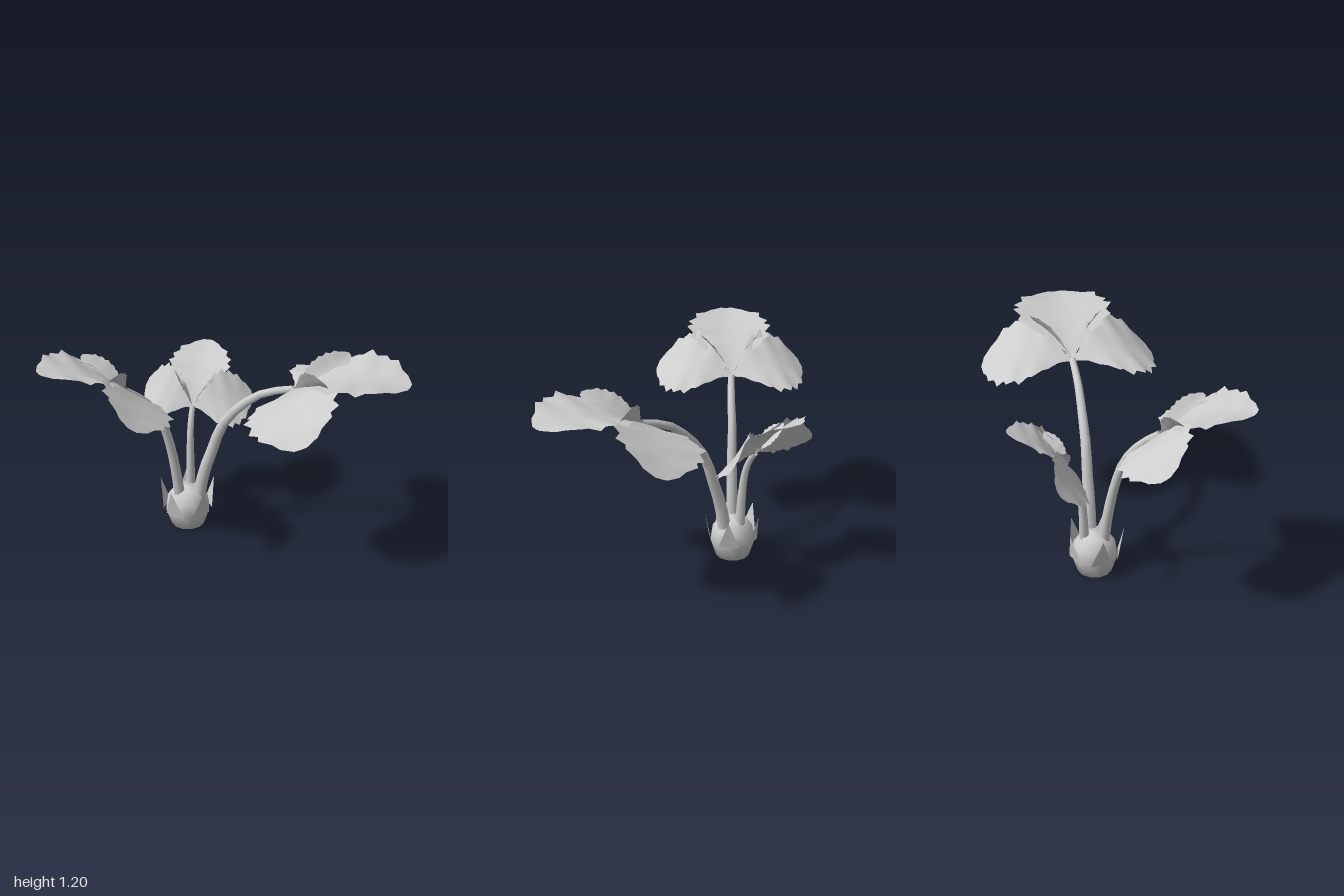
import * as THREE from 'three';

const V = (x, y, z) => new THREE.Vector3(x, y, z);

// Half-width of a leaflet (0..1) along its length
const OUTLINE = [0.04, 0.17, 0.43, 0.71, 0.91, 1, 1, 0.94, 0.8, 0.53, 0.15];
function widthAt(t) {
  const f = Math.min(t * 10, 9.999), i = Math.floor(f);
  return THREE.MathUtils.lerp(OUTLINE[i], OUTLINE[i + 1], f - i);
}

// Arched, toothed leaflet growing along +z from the origin
function leafletGeometry(length, halfWidth, arch, fold) {
  const rows = 16, cols = 6, pos = [], index = [];
  for (let i = 0; i <= rows; i++) {
    const t = i / rows;
    const tooth = i % 2 ? 1.06 : 0.92;
    for (let j = 0; j <= cols; j++) {
      const s = (j / cols) * 2 - 1, edge = Math.abs(s) === 1;
      const w = halfWidth * widthAt(t) * (edge ? tooth : 1);
      const ripple = 0.04 * Math.sin(t * Math.PI * 8) * Math.abs(s) * widthAt(t) * halfWidth;
      const lift = edge && i % 2 ? 0.02 * length : 0;
      pos.push(s * w, arch * Math.sin(Math.PI * t) + fold * Math.abs(s) * w + ripple, t * length + lift * (1 - t));
    }
  }
  for (let i = 0; i < rows; i++) {
    for (let j = 0; j < cols; j++) {
      const a = i * (cols + 1) + j, b = a + cols + 1;
      index.push(a, b, a + 1, b, b + 1, a + 1);
    }
  }
  const geo = new THREE.BufferGeometry();
  geo.setAttribute('position', new THREE.Float32BufferAttribute(pos, 3));
  geo.setIndex(index);
  geo.computeVertexNormals();
  return geo;
}

// Tube that narrows towards its end
function stemGeometry(points, r0, r1) {
  const curve = new THREE.CatmullRomCurve3(points);
  const steps = 10, sides = 8;
  const geo = new THREE.TubeGeometry(curve, steps, r0, sides);
  const p = geo.attributes.position, v = V(0, 0, 0);
  for (let i = 0; i <= steps; i++) {
    const c = curve.getPointAt(i / steps);
    const k = THREE.MathUtils.lerp(1, r1 / r0, i / steps);
    for (let j = 0; j <= sides; j++) {
      const n = i * (sides + 1) + j;
      v.fromBufferAttribute(p, n).sub(c).multiplyScalar(k).add(c);
      p.setXYZ(n, v.x, v.y, v.z);
    }
  }
  return geo;
}

export function createModel() {
  const model = new THREE.Group();
  model.name = 'plant';
  const grey = new THREE.MeshStandardMaterial({ color: 0xcccccc, side: THREE.DoubleSide });
  grey.name = 'plain grey';

  function add(parent, name, geo) {
    const mesh = new THREE.Mesh(geo, grey);
    mesh.name = name;
    parent.add(mesh);
    return mesh;
  }

  // Bulb
  const base = new THREE.Group();
  base.name = 'base';
  base.position.set(-0.287, 0, -0.127);
  model.add(base);
  const profile = [[0, 0], [0.097, 0], [0.129, 0.1], [0.118, 0.17], [0.075, 0.23], [0, 0.245]];
  add(base, 'bulb', new THREE.LatheGeometry(profile.map(([x, y]) => new THREE.Vector2(x, y)), 12));

  // Five pointed scales around the bulb
  for (let i = 0; i < 5; i++) {
    const geo = new THREE.BufferGeometry();
    geo.setAttribute('position', new THREE.Float32BufferAttribute(
      [-0.06, 0.1, 0.128, 0.06, 0.1, 0.128, 0, 0.272, 0.163], 3));
    geo.computeVertexNormals();
    add(base, 'scale', geo).rotation.y = THREE.MathUtils.degToRad(90 - 36 - 72 * i);
  }

  const mainLeaflet = leafletGeometry(0.66, 0.27, 0.06, 0.12);
  const sideLeaflet = leafletGeometry(0.54, 0.25, 0.08, 0.05);
  const smallLeaflet = leafletGeometry(0.36, 0.075, 0.02, 0.1);

  // One main leaflet, two sloping side leaflets and two small cupped ones
  function leafCluster(p) {
    const g = new THREE.Group();
    g.name = p.name + 'Leaf';
    g.position.copy(p.path[p.path.length - 1]);
    g.rotation.set(-p.pitch, p.yaw, 0, 'YXZ');
    g.scale.setScalar(p.scale);
    add(g, 'mainLeaflet', mainLeaflet).rotation.x = -0.2;
    for (const s of [-1, 1]) {
      add(g, 'sideLeaflet', sideLeaflet).rotation.set(p.droop, s * 1.14, -s * p.roll, 'YXZ');
      add(g, 'smallLeaflet', smallLeaflet).rotation.set(-0.48, s * 0.68, s * 0.95, 'YXZ');
    }
    model.add(g);
  }

  // Stems, each carrying a cluster of leaflets
  const plants = [
    { name: 'left', r: [0.037, 0.02], yaw: 1.45, pitch: 0, droop: 0.15, roll: 0.39, scale: 1,
      path: [V(-0.215, 0.2, -0.13), V(-0.185, 0.35, -0.125), V(-0.135, 0.5, -0.12), V(-0.07, 0.68, -0.11),
        V(0.02, 0.8, -0.1), V(0.17, 0.925, -0.08), V(0.345, 0.985, -0.06)] },
    { name: 'right', r: [0.034, 0.019], yaw: -0.72, pitch: 0.23, droop: 0.1, roll: 0.39, scale: 0.855,
      path: [V(-0.32, 0.18, -0.085), V(-0.335, 0.35, -0.07), V(-0.36, 0.55, -0.04), V(-0.4, 0.73, 0.0),
        V(-0.46, 0.86, 0.07), V(-0.54, 0.955, 0.15)] },
    { name: 'back', r: [0.029, 0.016], yaw: Math.PI, pitch: 0.5, droop: 0.06, roll: 0.55, scale: 0.645,
      path: [V(-0.285, 0.18, -0.185), V(-0.288, 0.4, -0.195), V(-0.292, 0.54, -0.212),
        V(-0.295, 0.62, -0.24), V(-0.298, 0.68, -0.28)] },
  ];
  for (const p of plants) {
    add(model, p.name + 'Stem', stemGeometry(p.path, p.r[0], p.r[1]));
    leafCluster(p);
  }
  return model;
}
